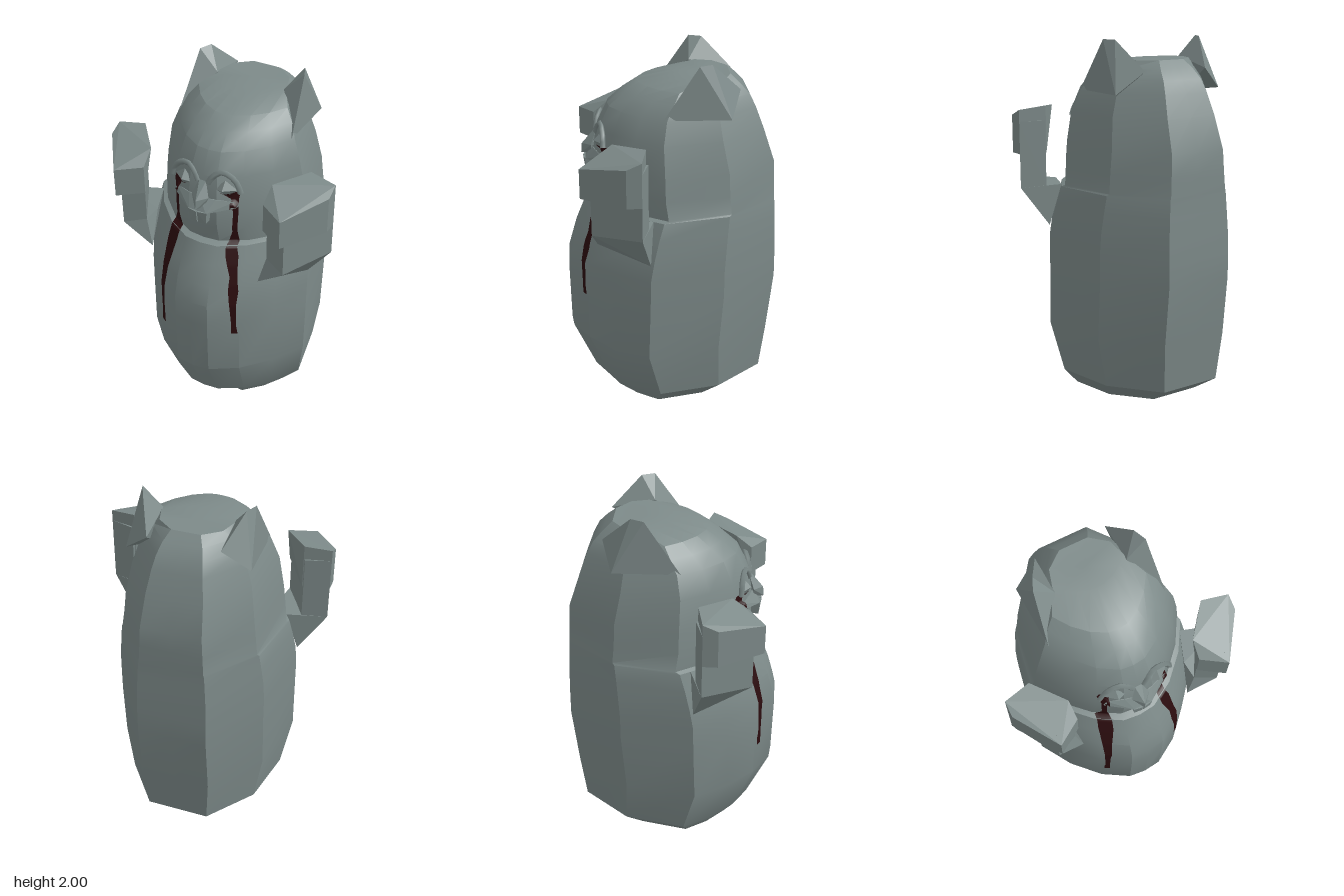
import * as THREE from 'three';
import { toCreasedNormals } from 'three/addons/utils/BufferGeometryUtils.js';
import { ConvexGeometry } from 'three/addons/geometries/ConvexGeometry.js';

// Half plan of the body: x as a share of half width, t from back (0) to front (1)
const PLAN = [[0, 1], [0.2, 0.99], [0.5, 0.91], [0.78, 0.78], [1, 0.62], [0.86, 0.27], [0.4, 0], [0, 0]];
// Body levels: y, half width, front z, back z
const LEVELS = [
  [0, 0.36, 0.38, -0.37], [0.1, 0.45, 0.46, -0.52], [0.38, 0.5, 0.585, -0.55],
  [0.72, 0.5, 0.59, -0.585], [0.86, 0.5, 0.585, -0.583], [0.98, 0.495, 0.55, -0.58],
  [1.09, 0.48, 0.505, -0.575], [1.19, 0.465, 0.455, -0.57], [1.2, 0.455, 0.415, -0.57],
  [1.3, 0.44, 0.435, -0.565], [1.42, 0.425, 0.435, -0.56], [1.6, 0.39, 0.405, -0.5],
  [1.72, 0.345, 0.345, -0.455], [1.79, 0.31, 0.265, -0.42], [1.845, 0.265, 0.18, -0.37], [1.89, 0.2, -0.05, -0.32],
];

function bodyGeometry() {
  const ring = [...PLAN, ...PLAN.slice(1, -1).reverse().map(([x, t]) => [-x, t])];
  const n = ring.length, pos = [], idx = [];
  LEVELS.forEach(([y, w, zf, zb], l) => ring.forEach(([x, t]) => {
    // raised notch between the feet
    const notch = l === 0 && t > 0.95;
    pos.push(x * w, notch ? 0.09 : y, zb + t * (zf - zb));
  }));
  for (let l = 0; l < LEVELS.length - 1; l++) {
    for (let i = 0; i < n; i++) {
      const a = l * n + i, b = l * n + (i + 1) % n;
      idx.push(a, b, b + n, a, b + n, a + n);
    }
  }
  // bottom and crown caps
  const bottom = pos.length / 3, top = (LEVELS.length - 1) * n;
  pos.push(0, 0, 0.1, 0, 1.885, -0.18);
  for (let i = 0; i < n; i++) {
    const j = (i + 1) % n;
    idx.push(j, i, bottom, top + i, top + j, bottom + 1);
  }
  const g = new THREE.BufferGeometry();
  g.setAttribute('position', new THREE.Float32BufferAttribute(pos, 3));
  g.setIndex(idx);
  return toCreasedNormals(g, 0.42);
}

// Faceted solid around a few points, mirrored by side
const hull = (points, side = 1) =>
  new ConvexGeometry(points.map(([x, y, z]) => new THREE.Vector3(x * side, y, z)));

export function createModel() {
  const model = new THREE.Group();
  const grey = new THREE.MeshStandardMaterial({ name: 'stone grey', color: 0x7d8a89 });
  const red = new THREE.MeshStandardMaterial({ name: 'dark red', color: 0x2b0c0e, side: THREE.DoubleSide });
  const add = (name, geometry, material = grey) => {
    const mesh = new THREE.Mesh(geometry, material);
    mesh.name = name;
    model.add(mesh);
    return mesh;
  };

  const painted = [add('body', bodyGeometry())];

  for (const [side, label] of [[1, 'left'], [-1, 'right']]) {
    // ear with a short ridge at its tip
    add(label + 'Ear', hull([
      [0.28, 2, -0.2], [0.31, 2, -0.13], [0.2, 1.89, -0.12], [0.335, 1.72, 0.06],
      [0.345, 1.72, -0.3], [0.2, 1.84, -0.36], [0.22, 1.7, -0.15],
    ], side));

    // arm: shoulder wedge, upright forearm, paw bent forward
    const elbow = [[0.65, 1.18, 0.19], [0.49, 1.15, 0.45], [0.37, 1.18, 0.4], [0.51, 1.18, 0.15]];
    add(label + 'Shoulder', hull([
      ...elbow, [0.5, 0.96, 0.14], [0.33, 1.02, 0.42], [0.36, 1.19, 0.3], [0.43, 1.19, 0.12],
    ], side));
    add(label + 'Forearm', hull([...elbow, ...elbow.map(([x, , z]) => [x, 1.55, z])], side));
    add(label + 'Paw', hull([
      [0.5, 1.63, 0.16], [0.65, 1.615, 0.19], [0.65, 1.58, 0.27], [0.49, 1.53, 0.505], [0.355, 1.54, 0.42],
      [0.36, 1.61, 0.33], [0.65, 1.37, 0.19], [0.65, 1.37, 0.27], [0.49, 1.365, 0.505],
      [0.355, 1.375, 0.42], [0.5, 1.37, 0.16],
    ], side));

    // arched brow around a small closed eye
    const arch = [[0.03, 1.56, 0.41], [0.06, 1.61, 0.4], [0.1, 1.635, 0.385], [0.14, 1.625, 0.38],
      [0.18, 1.59, 0.375], [0.205, 1.53, 0.375]].map(([x, y, z]) => new THREE.Vector3(x * side, y, z));
    add(label + 'Brow', new THREE.TubeGeometry(new THREE.CatmullRomCurve3(arch), 8, 0.016, 4));
    painted.push(add(label + 'Eye', hull([
      [0.06, 1.53, 0.4], [0.12, 1.59, 0.385], [0.185, 1.54, 0.37], [0.13, 1.5, 0.39], [0.12, 1.545, 0.425],
    ], side)));

    // cheek lobe
    painted.push(add(label + 'Cheek', hull([
      [0, 1.48, 0.44], [0, 1.41, 0.475], [0.05, 1.41, 0.475], [0.19, 1.44, 0.385],
      [0.17, 1.47, 0.385], [0.08, 1.475, 0.42], [0.08, 1.42, 0.4],
    ], side)));

    // front tooth
    add(label + 'Tooth', hull([
      [0.003, 1.34, 0.475], [0.047, 1.34, 0.47], [0.055, 1.415, 0.475], [0.003, 1.415, 0.485],
      [0.003, 1.34, 0.42], [0.047, 1.34, 0.42], [0.055, 1.415, 0.42], [0.003, 1.415, 0.42],
    ], side));
  }

  // nose with its bridge
  add('nose', hull([
    [-0.05, 1.49, 0.44], [0.05, 1.49, 0.44], [0, 1.43, 0.495], [0, 1.485, 0.49],
    [-0.02, 1.57, 0.41], [0.02, 1.57, 0.41], [-0.03, 1.44, 0.44], [0.03, 1.44, 0.44],
  ]));

  // tear streaks laid on the surface: y, centre x, half width
  const streaks = {
    rightTear: [[1.52, -0.145, 0.05], [1.49, -0.18, 0.027], [1.42, -0.178, 0.013], [1.27, -0.178, 0.012],
      [1.2, -0.185, 0.035], [1.13, -0.193, 0.036], [0.97, -0.212, 0.022], [0.8, -0.221, 0.014],
      [0.66, -0.222, 0.01], [0.62, -0.224, 0.015], [0.57, -0.224, 0.014]],
    leftTear: [[1.52, 0.145, 0.045], [1.48, 0.168, 0.017], [1.4, 0.175, 0.012], [1.27, 0.17, 0.012],
      [1.2, 0.163, 0.025], [1.14, 0.178, 0.03], [1.03, 0.205, 0.018], [0.95, 0.215, 0.024],
      [0.85, 0.222, 0.015], [0.72, 0.228, 0.011], [0.66, 0.231, 0.015]],
  };
  model.updateMatrixWorld(true);
  const ray = new THREE.Raycaster();
  const surfaceZ = (x, y) => {
    ray.set(new THREE.Vector3(x, y, 2), new THREE.Vector3(0, 0, -1));
    const hit = ray.intersectObjects(painted)[0];
    return hit ? hit.point.z : 0.4;
  };
  const rows = 90, cols = 4;
  for (const [name, path] of Object.entries(streaks)) {
    const pos = [], idx = [];
    for (let r = 0; r <= rows; r++) {
      const y = THREE.MathUtils.lerp(path[0][0], path[path.length - 1][0], r / rows);
      let k = 0;
      while (k < path.length - 2 && path[k + 1][0] > y) k++;
      const [y0, x0, w0] = path[k], [y1, x1, w1] = path[k + 1];
      const f = (y0 - y) / (y0 - y1);
      for (let c = 0; c <= cols; c++) {
        const x = x0 + (x1 - x0) * f + (w0 + (w1 - w0) * f) * (2 * c / cols - 1);
        pos.push(x, y, surfaceZ(x, y) + 0.006);
        if (r < rows && c < cols) {
          const a = r * (cols + 1) + c, b = a + cols + 1;
          idx.push(a, b, b + 1, a, b + 1, a + 1);
        }
      }
    }
    const g = new THREE.BufferGeometry();
    g.setAttribute('position', new THREE.Float32BufferAttribute(pos, 3));
    g.setIndex(idx);
    g.computeVertexNormals();
    add(name, g, red);
  }
  return model;
}
